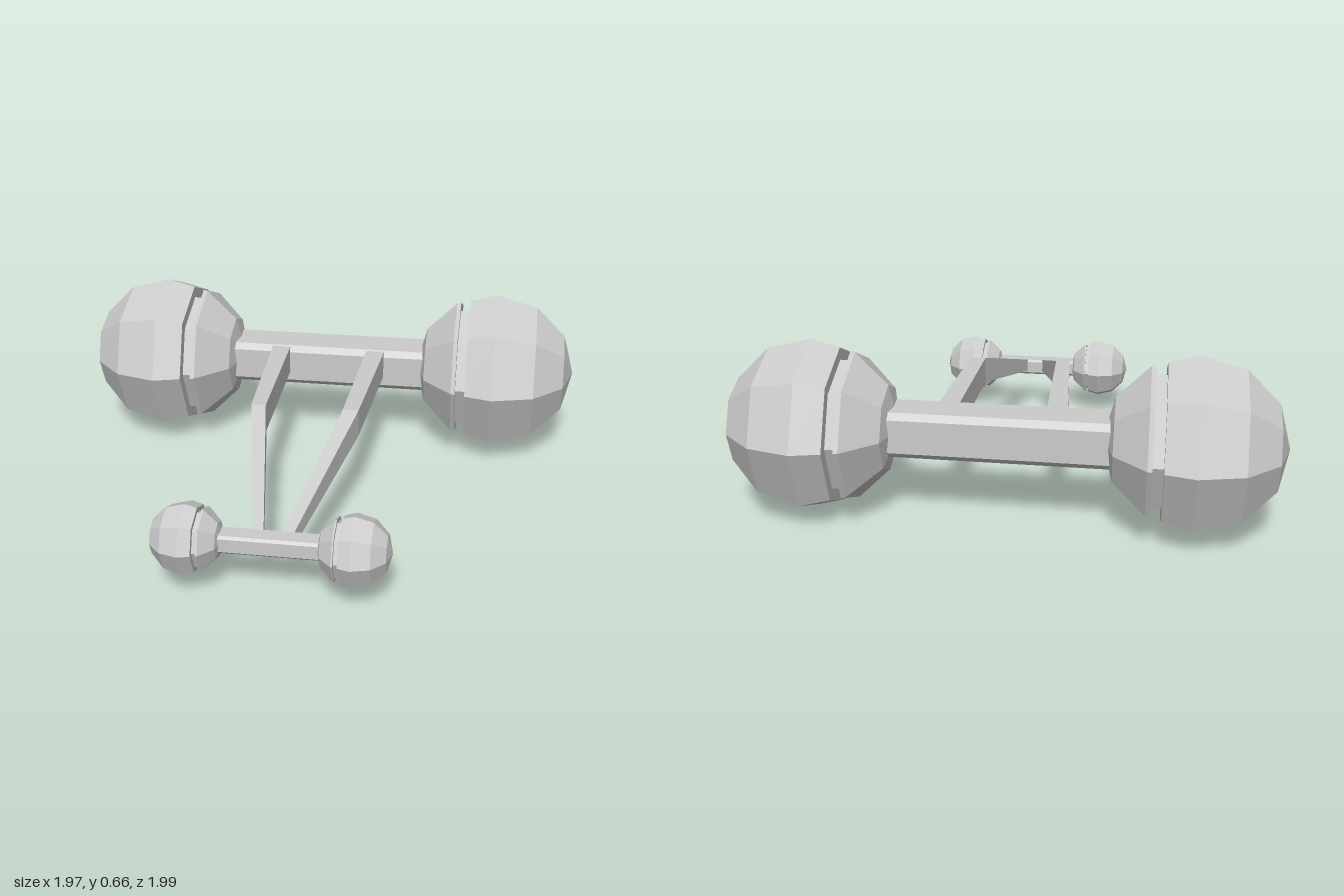
import * as THREE from 'three';

const TILT = THREE.MathUtils.degToRad(20);
const material = new THREE.MeshStandardMaterial({ color: 0xcccccc, flatShading: true });

function addMesh(parent, geometry, name) {
  const mesh = new THREE.Mesh(geometry, material);
  mesh.name = name;
  parent.add(mesh);
  return mesh;
}

// Low-poly round wheel turned about x, with a groove on its inner (+x) side
function wheelGeometry(r) {
  const ring = (deg) => [Math.sin(deg * Math.PI / 180), -Math.cos(deg * Math.PI / 180)];
  const profile = [
    [0, -1], ring(30), ring(60), ring(90),
    [0.912, 0.33], [0.77, 0.33], [0.77, 0.45], [0.879, 0.45],
    ring(120), ring(150), [0, 1],
  ].map(([x, y]) => new THREE.Vector2(x * r, y * r));
  return new THREE.LatheGeometry(profile, 8).rotateZ(-Math.PI / 2);
}

// Bevelled bar along x
function barGeometry(length, halfY, halfZ, bevel) {
  const pts = [
    [halfZ, halfY - bevel], [halfZ - bevel, halfY], [bevel - halfZ, halfY], [-halfZ, halfY - bevel],
    [-halfZ, bevel - halfY], [bevel - halfZ, -halfY], [halfZ - bevel, -halfY], [halfZ, bevel - halfY],
  ].map(([x, y]) => new THREE.Vector2(x, y));
  return new THREE.ExtrudeGeometry(new THREE.Shape(pts), { depth: length, bevelEnabled: false })
    .translate(0, 0, -length / 2).rotateY(Math.PI / 2);
}

// Axle bar with a wheel at each end
function makeAxle(name, x, y, z, halfSpan, r) {
  const axle = new THREE.Group();
  axle.name = name;
  addMesh(axle, barGeometry(halfSpan * 2 - r, r * 0.262, r * 0.295, r * 0.07), name + 'Bar');
  for (const side of [-1, 1]) {
    const wheel = addMesh(axle, wheelGeometry(r), name + (side > 0 ? 'LeftWheel' : 'RightWheel'));
    wheel.position.x = side * halfSpan;
    if (side > 0) wheel.rotation.y = Math.PI;
  }
  axle.position.set(x, y, z);
  axle.rotation.y = -TILT;
  return axle;
}

// Bent tapering arm; each section is [x, z, width, bottom, top] from back to front
function armGeometry(sections) {
  const geo = new THREE.BoxGeometry(1, 1, 1, 1, 1, 2);
  const p = geo.attributes.position;
  for (let i = 0; i < p.count; i++) {
    const [x, z, width, bottom, top] = sections[Math.round((p.getZ(i) + 0.5) * 2)];
    const offset = p.getX(i) * width;
    p.setXYZ(i, x + offset * Math.cos(TILT), p.getY(i) > 0 ? top : bottom, z + offset * Math.sin(TILT));
  }
  geo.computeVertexNormals();
  return geo;
}

export function createModel() {
  const model = new THREE.Group();
  model.name = 'twoAxleCart';

  model.add(makeAxle('rearAxle', 0, 0.335, -0.435, 0.7, 0.33));
  model.add(makeAxle('frontAxle', -0.442, 0.2, 0.764, 0.29, 0.13));

  // Arms joining the two axles
  addMesh(model, armGeometry([
    [-0.2, -0.48, 0.078, 0.31, 0.417],
    [-0.388, 0.125, 0.056, 0.31, 0.417],
    [-0.478, 0.75, 0.035, 0.175, 0.226],
  ]), 'rightArm');
  addMesh(model, armGeometry([
    [0.19, -0.36, 0.078, 0.31, 0.417],
    [-0.055, 0.245, 0.06, 0.31, 0.417],
    [-0.39, 0.78, 0.04, 0.175, 0.226],
  ]), 'leftArm');

  return model;
}
